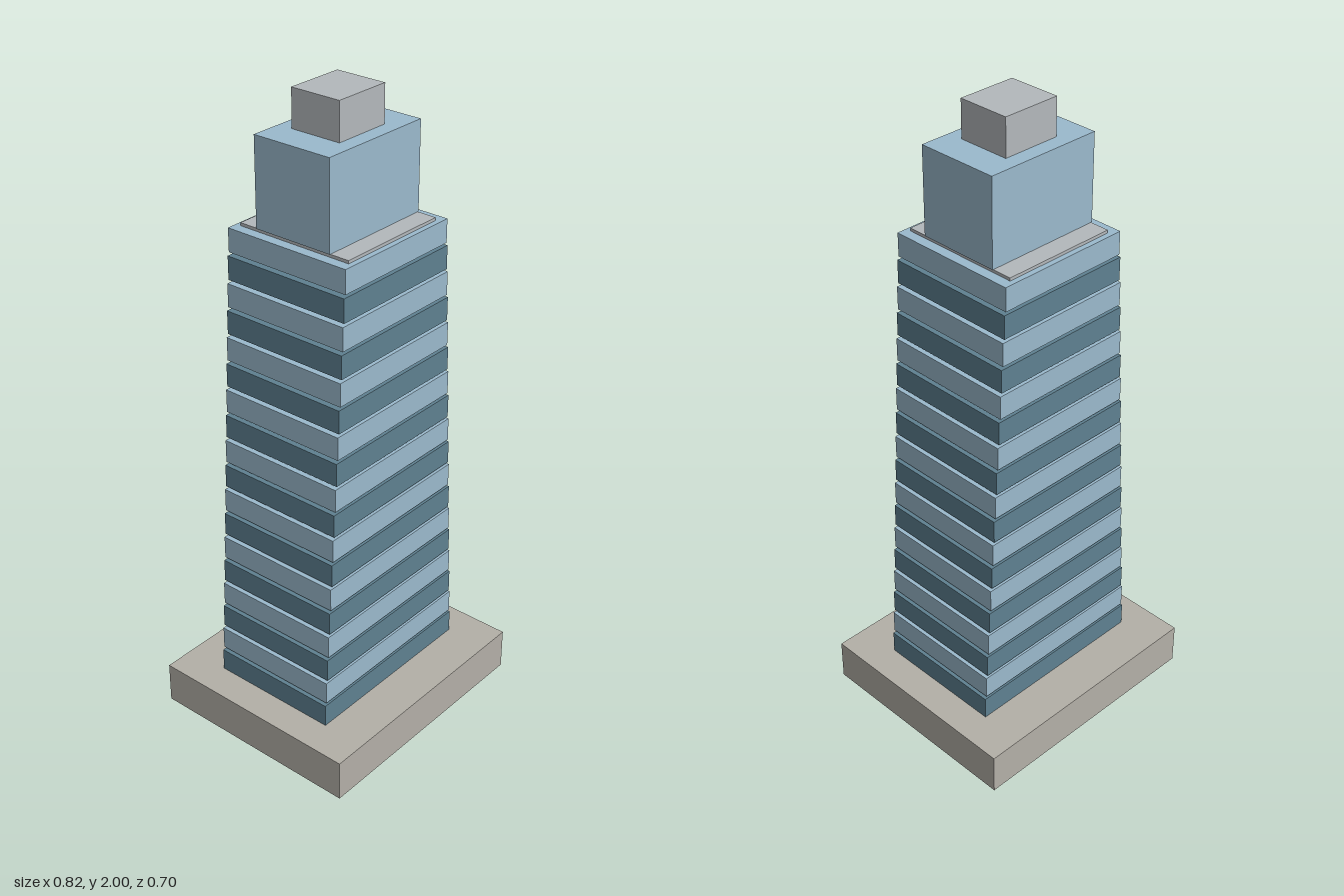
import * as THREE from 'three';

const paint = (color) => new THREE.MeshStandardMaterial({ color });

export function createModel() {
  const tower = new THREE.Group();
  tower.name = 'tower';
  const lightGlass = paint(0x9bbacd);
  const darkGlass = paint(0x5f8191);
  const stone = paint(0xb4b0a8);
  const metal = paint(0xb4b9bc);

  // Box centred on the tower axis, placed by its bottom height
  const block = (name, width, height, depth, bottom, material) => {
    const mesh = new THREE.Mesh(new THREE.BoxGeometry(width, height, depth), material);
    mesh.name = name;
    mesh.position.y = bottom + height / 2;
    tower.add(mesh);
  };

  // Base plinth
  const baseHeight = 0.134;
  block('base', 0.82, baseHeight, 0.704, 0, stone);

  // Alternating glass floors, narrowing upwards, each topped by a recessed slab
  const floors = 18, pitch = 0.0823, floorHeight = 0.073;
  for (let i = 0; i < floors; i++) {
    const t = i / (floors - 1);
    const width = THREE.MathUtils.lerp(0.616, 0.438, t);
    const bottom = baseHeight + i * pitch;
    block(`floor${i + 1}`, width, floorHeight, 0.42, bottom, i % 2 ? lightGlass : darkGlass);
    block(`slab${i + 1}`, width * 0.853, pitch - floorHeight, 0.386, bottom + floorHeight, metal);
  }

  // Crown and roof cap
  const crownBottom = baseHeight + floors * pitch;
  block('crown', 0.38, 1.885 - crownBottom, 0.262, crownBottom, lightGlass);
  block('roofCap', 0.187, 0.115, 0.166, 1.885, metal);

  return tower;
}
